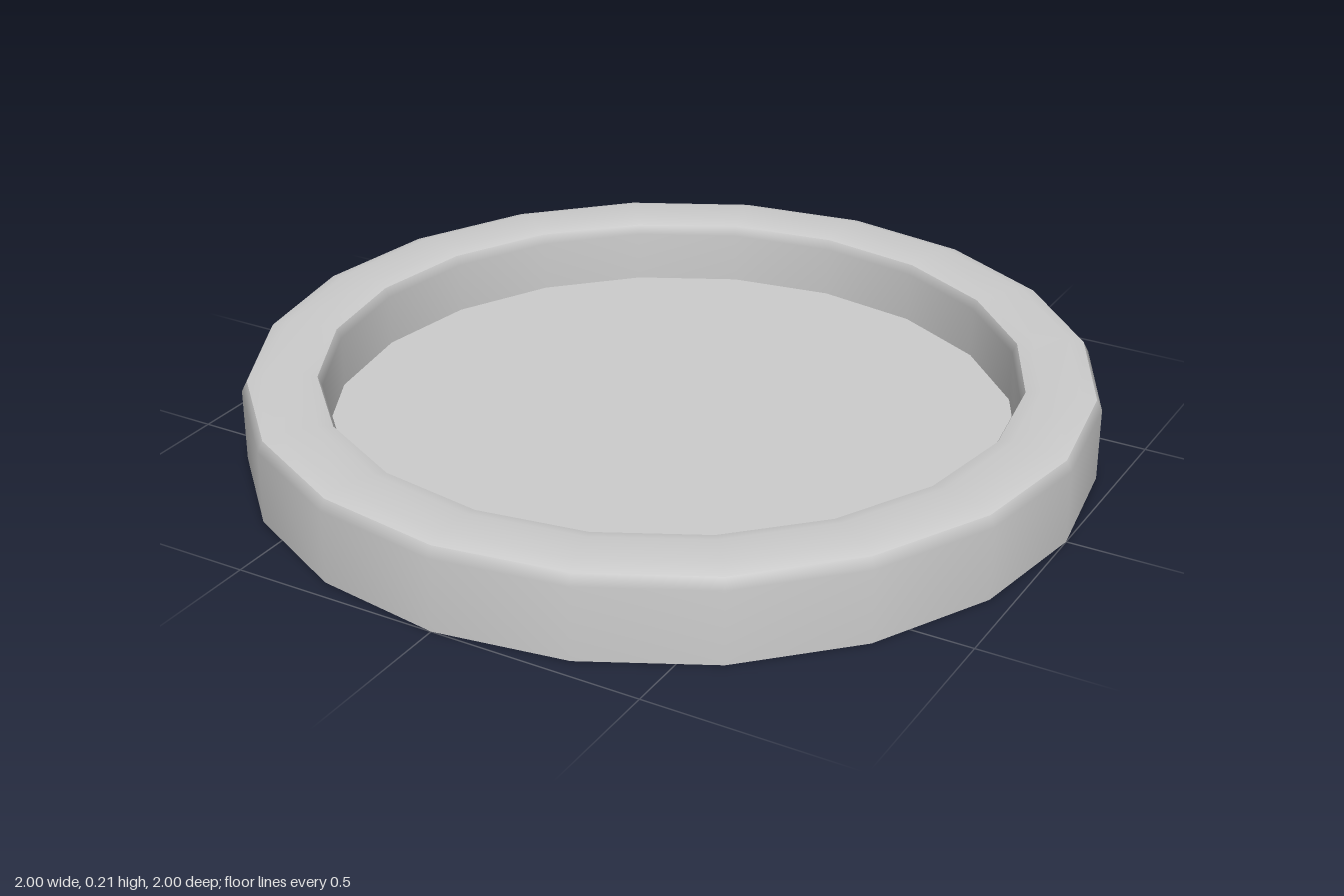
import * as THREE from 'three';

const SIDES = 20;
const material = new THREE.MeshStandardMaterial({ color: 0xcccccc, side: THREE.DoubleSide });

// Revolves a short [radius, height] profile, smooth within itself
function ring(name, profile) {
  const points = profile.map(([r, y]) => new THREE.Vector2(r, y));
  const mesh = new THREE.Mesh(new THREE.LatheGeometry(points, SIDES), material);
  mesh.name = name;
  return mesh;
}

export function createModel() {
  const model = new THREE.Group();
  model.name = 'shallowRoundTray';

  // Separate bands keep the creases between them sharp
  model.add(
    ring('outerWall', [[1, 0], [1, 0.175], [0.987, 0.2]]),
    ring('rim', [[0.987, 0.2], [0.95, 0.212], [0.86, 0.212], [0.825, 0.203]]),
    ring('innerWall', [[0.825, 0.203], [0.815, 0.18], [0.815, 0.027]])
  );

  // Recessed floor, raised a little above the open underside
  const floor = new THREE.Mesh(new THREE.CircleGeometry(0.815, SIDES), material);
  floor.name = 'floor';
  floor.rotation.x = -Math.PI / 2;
  floor.position.y = 0.055;
  model.add(floor);

  return model;
}
